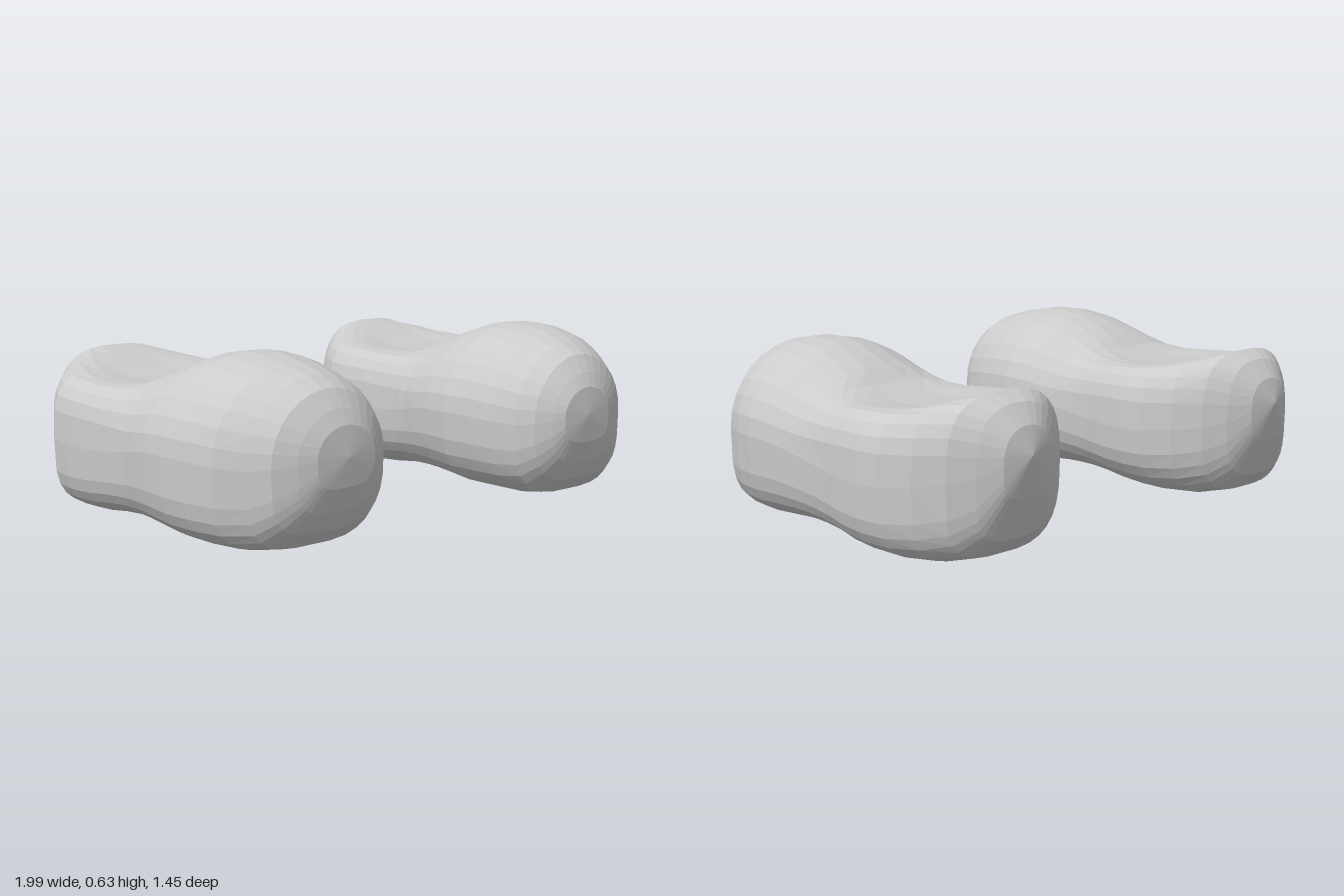
import * as THREE from 'three';

// Cross-sections from toe to heel: z, inner x, outer x, bottom y, top y, roundness of the top
const SECTIONS = [
  [0.715, 0.44, 0.67, 0.24, 0.44, 2],
  [0.69, 0.40, 0.73, 0.16, 0.49, 2],
  [0.65, 0.35, 0.80, 0.09, 0.55, 2],
  [0.59, 0.31, 0.85, 0.035, 0.585, 2],
  [0.50, 0.275, 0.92, 0.02, 0.612, 2],
  [0.40, 0.25, 0.96, 0.02, 0.63, 2],
  [0.30, 0.23, 0.98, 0.022, 0.633, 2],
  [0.20, 0.24, 0.98, 0.03, 0.618, 2],
  [0.11, 0.255, 0.972, 0.035, 0.585, 2.1],
  [0.04, 0.27, 0.963, 0.035, 0.553, 2.4],
  [-0.03, 0.275, 0.963, 0.033, 0.532, 2.8],
  [-0.11, 0.268, 0.97, 0.027, 0.52, 3.2],
  [-0.20, 0.255, 0.985, 0.015, 0.522, 3.5],
  [-0.30, 0.245, 0.993, 0.008, 0.527, 3.5],
  [-0.40, 0.25, 0.985, 0.005, 0.535, 3.4],
  [-0.50, 0.30, 0.935, 0.008, 0.547, 3.2],
  [-0.59, 0.37, 0.87, 0.03, 0.556, 2.9],
  [-0.65, 0.44, 0.80, 0.09, 0.525, 2.6],
  [-0.70, 0.52, 0.73, 0.23, 0.46, 2.3],
];
const SEGMENTS = 30;
const TOE_TIP = [0.55, 0.34, 0.727], HEEL_TIP = [0.63, 0.37, -0.727];

// Shallow foot opening, deepest behind the instep and fading towards the rim
function dishDepth(z, across) {
  const along = Math.max(0, 1 - ((z + 0.26) / 0.3) ** 2);
  return 0.055 * along * Math.max(0, 1 - (across / 0.8) ** 2);
}

function shoeGeometry(side) {
  const pos = [], index = [];
  const point = (x, y, z) => pos.push(side * x, y, z);
  const face = (a, b, c) => (side > 0 ? index.push(a, b, c) : index.push(a, c, b));

  // Rounded rings: domed above, squarer towards the sole
  for (const [z, inner, outer, bottom, top, round] of SECTIONS) {
    const cx = (inner + outer) / 2, half = (outer - inner) / 2;
    const midY = bottom + (top - bottom) * 0.5;
    for (let j = 0; j < SEGMENTS; j++) {
      const t = (j / SEGMENTS) * Math.PI * 2;
      const c = Math.cos(t), s = Math.sin(t);
      const n = s >= 0 ? round : c > 0 ? 3.8 : 2.9;
      const u = Math.sign(c) * Math.abs(c) ** (2 / n);
      const v = Math.sign(s) * Math.abs(s) ** (2 / n);
      const y = midY + v * (v > 0 ? top - midY : midY - bottom);
      point(cx + u * half, y - (s > 0 ? dishDepth(z, u) : 0), z);
    }
  }

  // Skin between the rings
  const last = (SECTIONS.length - 1) * SEGMENTS;
  for (let r = 0; r < last; r += SEGMENTS) {
    for (let j = 0; j < SEGMENTS; j++) {
      const k = (j + 1) % SEGMENTS;
      face(r + j, r + SEGMENTS + j, r + k);
      face(r + k, r + SEGMENTS + j, r + SEGMENTS + k);
    }
  }

  // Toe and heel tips
  const toe = pos.length / 3;
  point(...TOE_TIP);
  point(...HEEL_TIP);
  for (let j = 0; j < SEGMENTS; j++) {
    const k = (j + 1) % SEGMENTS;
    face(toe, j, k);
    face(toe + 1, last + k, last + j);
  }

  const geometry = new THREE.BufferGeometry();
  geometry.setAttribute('position', new THREE.Float32BufferAttribute(pos, 3));
  geometry.setIndex(index);
  geometry.computeVertexNormals();
  return geometry;
}

export function createModel() {
  const group = new THREE.Group();
  group.name = 'shoes';
  const material = new THREE.MeshStandardMaterial({ color: 0xcccccc, flatShading: true });
  for (const side of [1, -1]) {
    const shoe = new THREE.Mesh(shoeGeometry(side), material);
    shoe.name = side > 0 ? 'leftShoe' : 'rightShoe';
    group.add(shoe);
  }
  return group;
}
